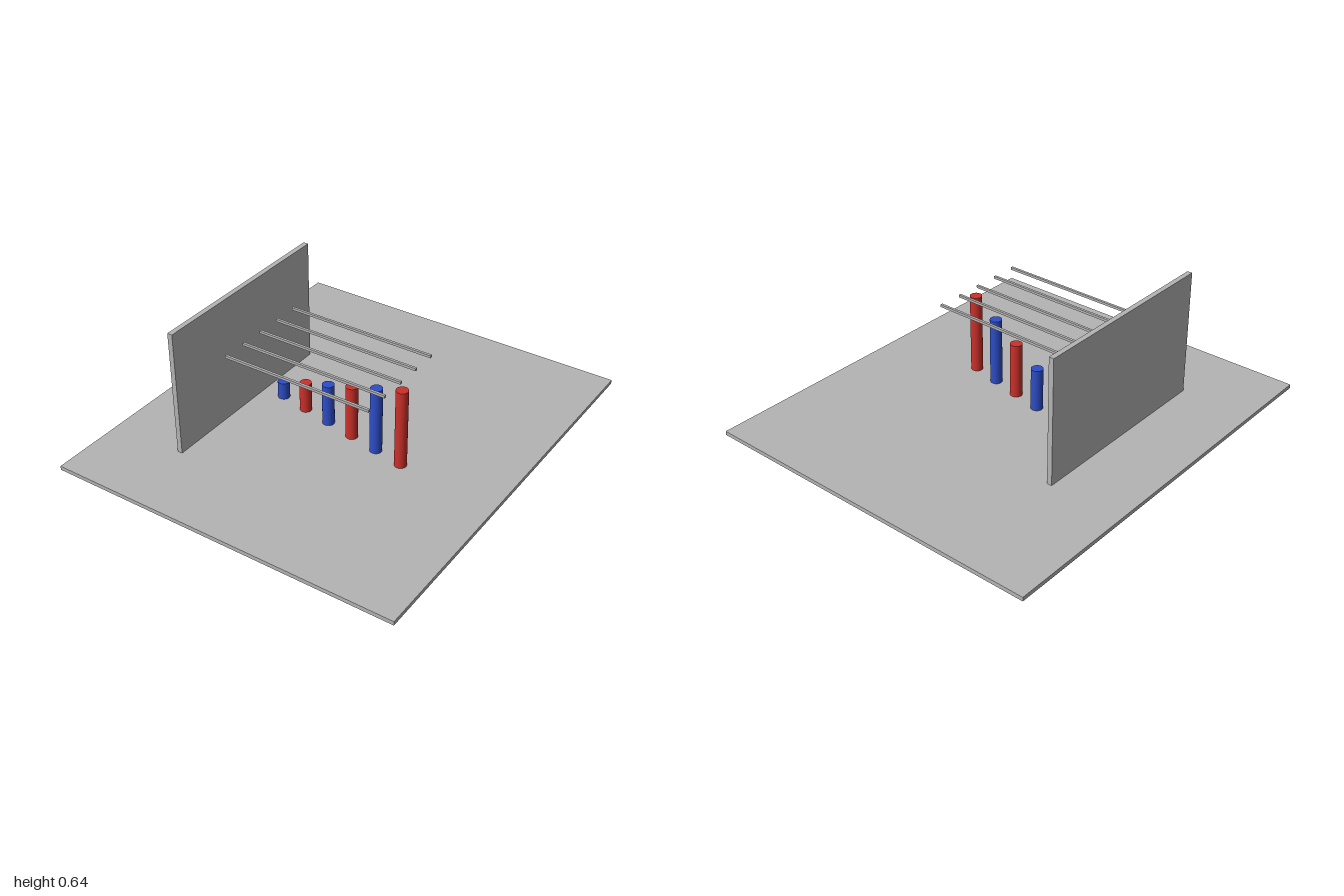
import * as THREE from 'three';

export function createModel() {
  const model = new THREE.Group();
  const material = (name, color) => {
    const m = new THREE.MeshStandardMaterial({ color });
    m.name = name;
    return m;
  };
  const grey = material('grey', 0xb4b4b4);
  const blue = material('blue', 0x2d4dc8);
  const red = material('red', 0xcc3029);

  const add = (name, geometry, mat, x, y, z) => {
    const mesh = new THREE.Mesh(geometry, mat);
    mesh.name = name;
    mesh.position.set(x, y, z);
    model.add(mesh);
  };

  // Ground slab and upright side wall
  const floor = 0.02;
  add('basePlate', new THREE.BoxGeometry(1.75, floor, 2), grey, 0, floor / 2, 0);
  add('sideWall', new THREE.BoxGeometry(0.025, 0.625, 1), grey, -0.5, floor + 0.3125, 0.125);

  // Rising row of pillars in alternating colours
  for (let i = 0; i < 6; i++) {
    const h = 0.0875 + 0.0625 * i;
    add(`pillar${i + 1}`, new THREE.CylinderGeometry(0.029, 0.029, h, 32),
      i % 2 ? red : blue, -0.375 + 0.15 * i, floor + h / 2, 0.03 * i);
  }

  // Parallel overhead bars
  for (let i = 0; i < 5; i++) {
    add(`overheadBar${i + 1}`, new THREE.BoxGeometry(0.75, 0.0125, 0.0125),
      grey, 0, 0.465, -0.0875 + 0.125 * i);
  }

  return model;
}
